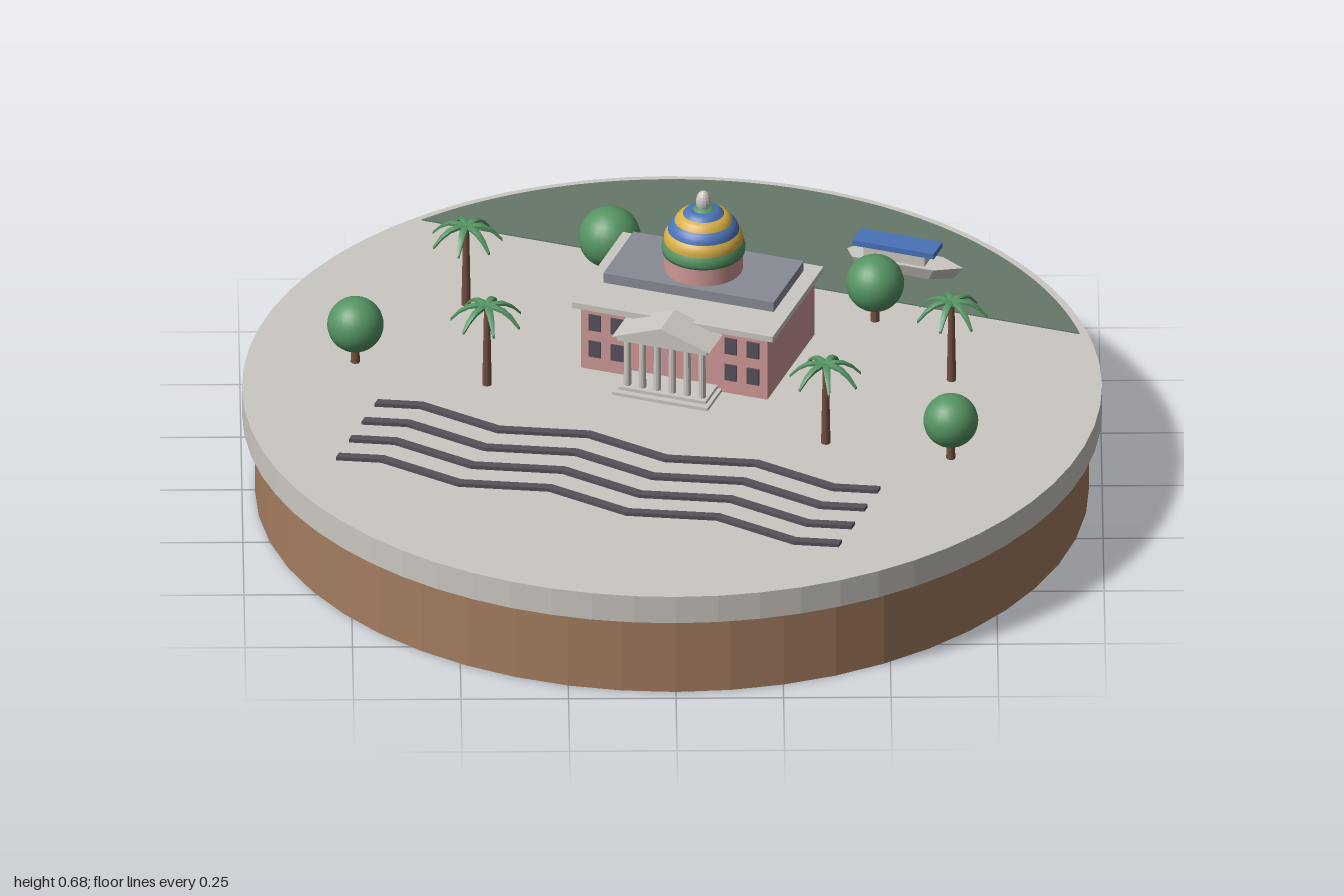
import * as THREE from 'three';

const mat = (name, color, extra = {}) => {
  const m = new THREE.MeshStandardMaterial({ color, ...extra });
  m.name = name;
  return m;
};
const GROUND = 0.27;

export function createModel() {
  const M = {
    stone: mat('pale stone', 0xcbc7c1, { flatShading: true }),
    earth: mat('brown earth', 0xa47c60, { flatShading: true }),
    water: mat('dull green water', 0x66786a),
    pink: mat('pink wall', 0xcf9896),
    slate: mat('slate roof', 0x888b95),
    green: mat('leaf green', 0x559463),
    blue: mat('blue', 0x4a72b8),
    yellow: mat('gold', 0xd6ae45),
    trunk: mat('bark', 0x755040),
    dark: mat('dark iron', 0x57515a),
  };
  const model = new THREE.Group();
  model.name = 'islandDiorama';

  const add = (parent, name, geo, material, x = 0, y = 0, z = 0) => {
    const mesh = new THREE.Mesh(geo, material);
    mesh.name = name;
    mesh.position.set(x, y, z);
    parent.add(mesh);
    return mesh;
  };
  const group = (parent, name, x = 0, y = 0, z = 0) => {
    const g = new THREE.Group();
    g.name = name;
    g.position.set(x, y, z);
    parent.add(g);
    return g;
  };
  // box given by its bottom height
  const box = (parent, name, material, w, h, d, x, y0, z) =>
    add(parent, name, new THREE.BoxGeometry(w, h, d), material, x, y0 + h / 2, z);

  // Round plinth
  add(model, 'earthBase', new THREE.CylinderGeometry(0.97, 0.97, 0.2, 48), M.earth, 0, 0.1, 0);
  add(model, 'stoneDisc', new THREE.CylinderGeometry(1, 1, 0.07, 64), M.stone, 0, 0.235, 0);

  // Everything laid out parallel to the shoreline
  const site = group(model, 'site', 0, GROUND, 0);
  site.rotation.y = -THREE.MathUtils.degToRad(20);

  // Water: a circular segment behind the shoreline
  const shore = 0.55, waterR = 0.98, a = Math.asin(shore / waterR);
  const waterShape = new THREE.Shape().absarc(0, 0, waterR, a, Math.PI - a, false);
  waterShape.closePath();
  const water = new THREE.ExtrudeGeometry(waterShape, { depth: 0.003, bevelEnabled: false, curveSegments: 40 });
  add(site, 'water', water.rotateX(-Math.PI / 2), M.water);

  // Hall
  const hall = group(site, 'hall');
  box(hall, 'walls', M.pink, 0.46, 0.162, 0.33, 0, 0, -0.18);
  box(hall, 'cornice', M.stone, 0.495, 0.015, 0.355, 0, 0.162, -0.18);
  box(hall, 'upperRoof', M.slate, 0.42, 0.025, 0.21, 0, 0.177, -0.22);
  for (const x of [-0.195, -0.14, 0.14, 0.195])
    for (const y of [0.035, 0.105])
      box(hall, 'window', M.dark, 0.03, 0.042, 0.006, x, y, -0.014);

  // Portico
  const portico = group(hall, 'portico');
  box(portico, 'lowerStep', M.stone, 0.235, 0.008, 0.1, 0, 0, 0.034);
  box(portico, 'upperStep', M.stone, 0.215, 0.008, 0.085, 0, 0.008, 0.026);
  for (let i = 0; i < 6; i++)
    add(portico, 'column', new THREE.CylinderGeometry(0.008, 0.009, 0.126, 10), M.stone,
      -0.092 + i * 0.0368, 0.079, 0.05);
  box(portico, 'beam', M.stone, 0.22, 0.014, 0.09, 0, 0.14, 0.026);
  const gable = new THREE.Shape([[-0.12, 0], [0.12, 0], [0, 0.042]].map(p => new THREE.Vector2(...p)));
  add(portico, 'pediment', new THREE.ExtrudeGeometry(gable, { depth: 0.1, bevelEnabled: false }),
    M.stone, 0, 0.153, -0.02);

  // Striped dome, each band slightly bulging
  const dome = group(hall, 'dome', 0, 0.202, -0.22);
  add(dome, 'drum', new THREE.CylinderGeometry(0.092, 0.092, 0.045, 32), M.pink, 0, 0.0225, 0);
  const bands = [M.green, M.yellow, M.blue, M.yellow, M.blue, M.green];
  bands.forEach((m, i) => {
    const pts = [];
    const step = Math.PI / 2 / bands.length;
    for (let k = 0; k <= 4; k++) {
      const t = (i + k / 4) * step, bulge = 1 + 0.025 * Math.sin(k / 4 * Math.PI);
      pts.push(new THREE.Vector2(Math.max(0, 0.096 * Math.cos(t) * bulge), 0.045 + 0.115 * Math.sin(t) * bulge));
    }
    if (i === 0) pts.unshift(new THREE.Vector2(0, 0.045));
    add(dome, 'domeBand', new THREE.LatheGeometry(pts, 32), m);
  });
  const finial = add(dome, 'finial', new THREE.SphereGeometry(0.018, 14, 10), M.stone, 0, 0.176, 0);
  finial.scale.y = 1.5;

  // Four wavy rails
  const rails = group(site, 'wavyRails');
  for (let r = 0; r < 4; r++) {
    const near = [], far = [];
    for (let i = 0; i <= 12; i++) {
      const x = -0.62 + i * 1.24 / 12;
      const z = 0.31 + r * 0.09 - 0.024 * Math.sin(i * Math.PI / 2);
      near.push(new THREE.Vector2(x, -z - 0.011));
      far.unshift(new THREE.Vector2(x, -z + 0.011));
    }
    const geo = new THREE.ExtrudeGeometry(new THREE.Shape([...near, ...far]), { depth: 0.009, bevelEnabled: false });
    add(rails, 'wavyRail', geo.rotateX(-Math.PI / 2), M.dark);
  }

  // Boat: hull outline extruded upward, pulled in at the keel
  const boat = group(site, 'boat', 0.31, 0.003, -0.697);
  const outline = [[-0.125, 0], [-0.1, -0.034], [0.1, -0.034], [0.162, 0], [0.1, 0.034], [-0.1, 0.034]];
  const hull = new THREE.ExtrudeGeometry(new THREE.Shape(outline.map(p => new THREE.Vector2(...p))),
    { depth: 0.032, bevelEnabled: false }).rotateX(-Math.PI / 2);
  const hp = hull.attributes.position;
  for (let i = 0; i < hp.count; i++)
    if (hp.getY(i) < 0.01) hp.setXYZ(i, hp.getX(i) * 0.85, hp.getY(i), hp.getZ(i) * 0.65);
  hull.computeVertexNormals();
  add(boat, 'hull', hull, M.stone);
  box(boat, 'cabin', M.stone, 0.15, 0.028, 0.048, 0, 0.032, 0);
  box(boat, 'canopy', M.blue, 0.2, 0.014, 0.062, 0, 0.06, 0);

  // Round trees: x, z, crown radius
  for (const [x, z, r] of [[-0.14, -0.535, 0.073], [-0.735, -0.125, 0.066], [0.475, -0.31, 0.068], [0.645, 0.345, 0.064]]) {
    const tree = group(model, 'roundTree', x, GROUND, z);
    add(tree, 'treeTrunk', new THREE.CylinderGeometry(0.008, 0.011, 0.06, 8), M.trunk, 0, 0.03, 0);
    add(tree, 'treeCrown', new THREE.SphereGeometry(r, 24, 16), M.green, 0, 0.1, 0);
  }

  // Palm frond: a thin tapering strip that arches and droops
  const frond = new THREE.BoxGeometry(0.085, 0.006, 0.02, 4, 1, 2).translate(0.0425, 0, 0);
  const fp = frond.attributes.position;
  for (let i = 0; i < fp.count; i++) {
    const t = fp.getX(i) / 0.085, z = fp.getZ(i) * (0.75 + 0.6 * t - 1.1 * t * t);
    fp.setXYZ(i, fp.getX(i), fp.getY(i) + 0.045 * t - 0.08 * t * t - Math.abs(z) * 0.4, z);
  }
  frond.computeVertexNormals();
  const palms = [[-0.475, -0.395], [-0.43, -0.015], [0.65, -0.025], [0.355, 0.27]];
  palms.forEach(([x, z], n) => {
    const palm = group(model, 'palm', x, GROUND, z);
    add(palm, 'palmTrunk', new THREE.CylinderGeometry(0.007, 0.011, 0.205, 8), M.trunk, 0, 0.1025, 0);
    for (let i = 0; i < 7; i++)
      add(palm, 'frond', frond, M.green, 0, 0.207, 0).rotation.y = i * Math.PI * 2 / 7 + n * 0.4;
  });

  return model;
}
